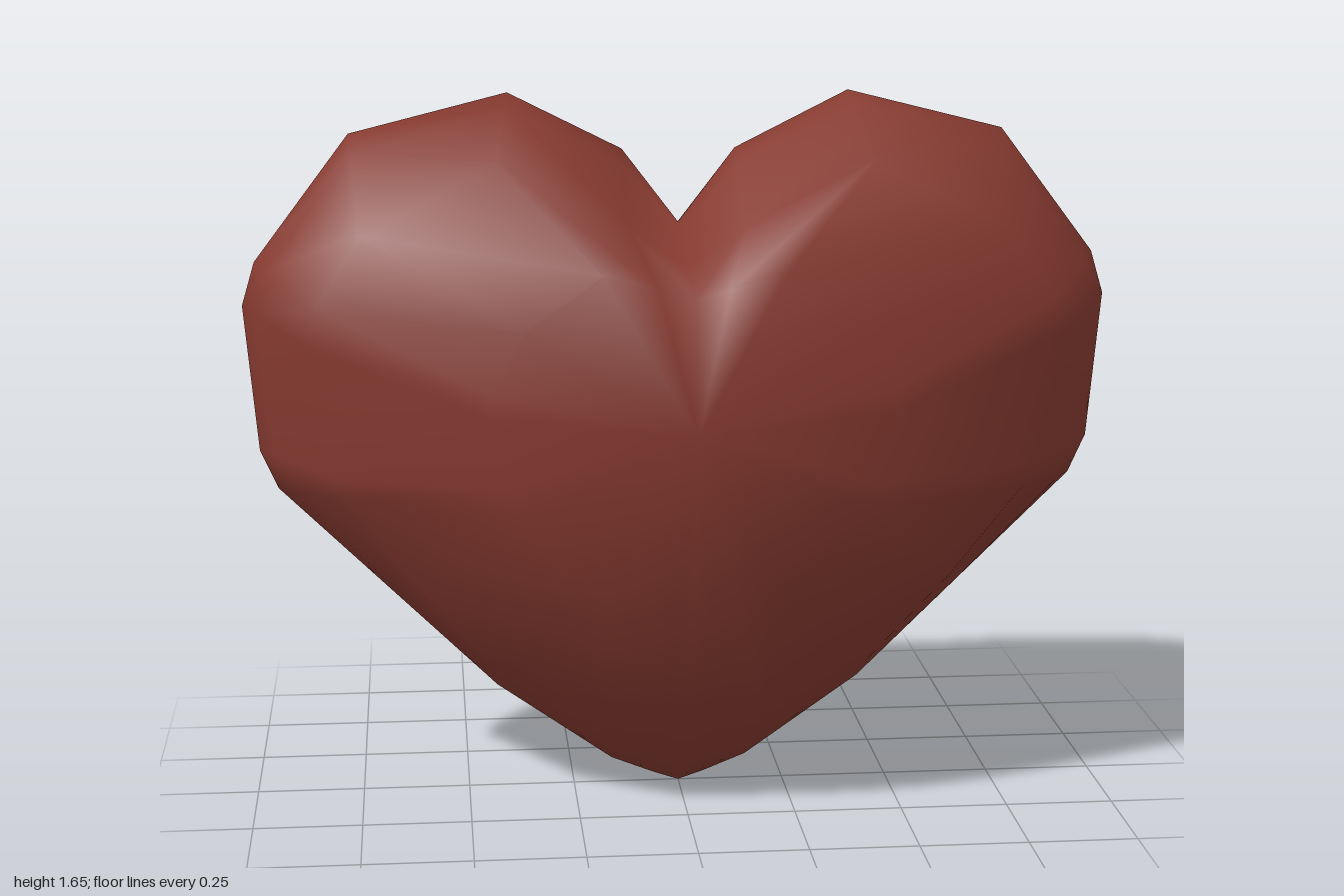
import * as THREE from 'three';

// Right halves of three heart sections, from the notch down to the tip
const outer = [
  [0, 1.35], [0.13, 1.52], [0.39, 1.65], [0.75, 1.56], [0.97, 1.27], [1, 1.17], [0.97, 0.83],
  [0.93, 0.74], [0.68, 0.495], [0.43, 0.25], [0.16, 0.06], [0.06, 0.02], [0, 0],
];
const middle = [
  [0, 1.28], [0.13, 1.37], [0.42, 1.52], [0.73, 1.36], [0.83, 1.2], [0.85, 1.12], [0.8, 0.82],
  [0.77, 0.77], [0.6, 0.56], [0.38, 0.4], [0.17, 0.26], [0.06, 0.25], [0, 0.25],
];
const inner = [
  [0, 1.24], [0.08, 1.26], [0.2, 1.29], [0.37, 1.17], [0.44, 1.03], [0.45, 0.98], [0.42, 0.82],
  [0.39, 0.76], [0.3, 0.65], [0.2, 0.58], [0.09, 0.545], [0.04, 0.54], [0, 0.54],
];
// Narrow bevel beside the rim
const rim = outer.map(([x, y], i) => [
  THREE.MathUtils.lerp(x, middle[i][0], 0.2),
  THREE.MathUtils.lerp(y, middle[i][1], 0.2),
]);

const frontRings = [
  { z: 0.41, half: inner },
  { z: 0.25, half: middle },
  { z: 0.06, half: rim },
];
const rings = [
  ...frontRings,
  { z: 0, half: outer },
  ...frontRings.map(({ z, half }) => ({ z: -z, half })).reverse(),
];

function heartGeometry() {
  const steps = outer.length - 1;
  const n = 2 * steps;
  const positions = [];
  const index = [];

  // Each ring: right half, then its mirror image back up to the notch
  for (const { z, half } of rings) {
    for (const [x, y] of half) positions.push(x, y, z);
    for (let i = steps - 1; i > 0; i--) positions.push(-half[i][0], half[i][1], z);
  }
  // Centre points of the front and back
  const front = rings.length * n;
  const back = front + 1;
  positions.push(0, 0.95, 0.49, 0, 0.95, -0.49);

  const last = rings.length - 1;
  for (let k = 0; k < n; k++) {
    const next = (k + 1) % n;
    index.push(front, next, k);
    for (let i = 0; i < last; i++) {
      const a = i * n + k, b = i * n + next, c = b + n, d = a + n;
      // Mirror the diagonals left to right and front to back
      if ((k >= steps) !== (i >= last / 2)) index.push(a, b, d, b, c, d);
      else index.push(a, b, c, a, c, d);
    }
    index.push(last * n + k, last * n + next, back);
  }

  const geometry = new THREE.BufferGeometry();
  geometry.setAttribute('position', new THREE.Float32BufferAttribute(positions, 3));
  geometry.setIndex(index);
  geometry.computeVertexNormals();
  return geometry;
}

export function createModel() {
  const group = new THREE.Group();
  const material = new THREE.MeshStandardMaterial({ color: 0x863a30 });
  const heart = new THREE.Mesh(heartGeometry(), material);
  heart.name = 'heart';
  group.add(heart);
  return group;
}
